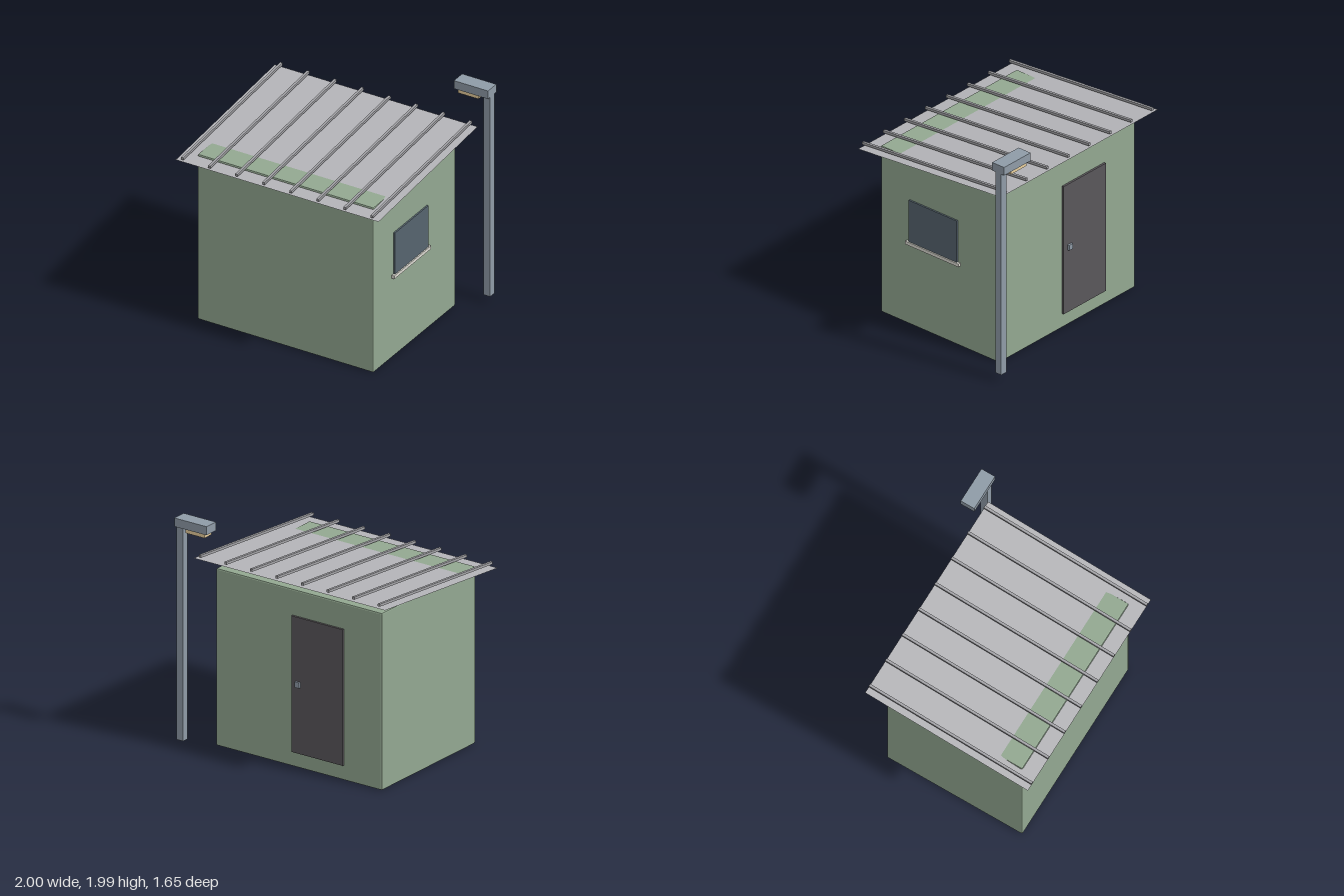
import * as THREE from 'three';
import { RoundedBoxGeometry } from 'three/addons/geometries/RoundedBoxGeometry.js';

const mat = (color, side = THREE.FrontSide) =>
  new THREE.MeshStandardMaterial({ color, side, flatShading: true });

const green = mat(0x93a891);
const roofGrey = mat(0xb4b4b8, THREE.DoubleSide);
const ribGrey = mat(0xa2a2a6);
const doorGrey = mat(0x5a575b);
const steel = mat(0x8f9ba7);
const glass = mat(0x56646e);
const sillWhite = mat(0xdcdad2);
const lampCream = mat(0xe8cf9e);

// Box given by its lower and upper corners
function box(name, material, [x0, y0, z0], [x1, y1, z1], bevel = 0) {
  const size = [x1 - x0, y1 - y0, z1 - z0];
  const geometry = bevel
    ? new RoundedBoxGeometry(...size, 1, bevel)
    : new THREE.BoxGeometry(...size);
  const mesh = new THREE.Mesh(geometry, material);
  mesh.name = name;
  mesh.position.set((x0 + x1) / 2, (y0 + y1) / 2, (z0 + z1) / 2);
  return mesh;
}

export function createModel() {
  const model = new THREE.Group();
  model.name = 'shed';

  // Walls: one block with softened edges
  model.add(box('walls', green, [-0.874, 0, -0.571], [0.773, 1.527, 0.692], 0.012));

  // Sloping sheet roof, highest at the back
  const slope = 0.082;
  const length = 1.527;
  const roof = new THREE.Group();
  roof.name = 'roof';
  roof.position.set(-0.05, 1.562, 0.06);
  roof.rotation.x = slope;
  const sheet = new THREE.Mesh(new THREE.PlaneGeometry(1.9, length).rotateX(-Math.PI / 2), roofGrey);
  sheet.name = 'roofSheet';
  roof.add(sheet);

  // Raised ribs along the slope
  for (let i = 0; i < 8; i++) {
    const rib = new THREE.Mesh(new THREE.BoxGeometry(0.022, 0.022, length), ribGrey);
    rib.name = 'roofRib';
    rib.position.set(-0.887 + i * 0.2535, 0.03, 0);
    roof.add(rib);
  }
  model.add(roof);

  // Side window with its sill
  model.add(box('windowPane', glass, [0.76, 0.75, -0.13], [0.787, 1.145, 0.382]));
  model.add(box('windowSill', sillWhite, [0.76, 0.735, -0.157], [0.797, 0.764, 0.41]));

  // Back door with its handle
  model.add(box('door', doorGrey, [-0.498, 0.13, -0.589], [0.012, 1.303, -0.56]));
  model.add(box('doorHandle', steel, [-0.078, 0.702, -0.608], [-0.034, 0.75, -0.58]));

  // Lamp post behind the corner, its head reaching over towards the shed
  const lampPost = new THREE.Group();
  lampPost.name = 'lampPost';
  lampPost.add(
    box('post', steel, [0.937, 0.068, -0.793], [1, 1.915, -0.73]),
    box('lampHead', steel, [0.68, 1.913, -0.824], [1, 1.987, -0.697]),
    box('lampLens', lampCream, [0.712, 1.876, -0.81], [0.9, 1.914, -0.711])
  );
  model.add(lampPost);

  return model;
}
